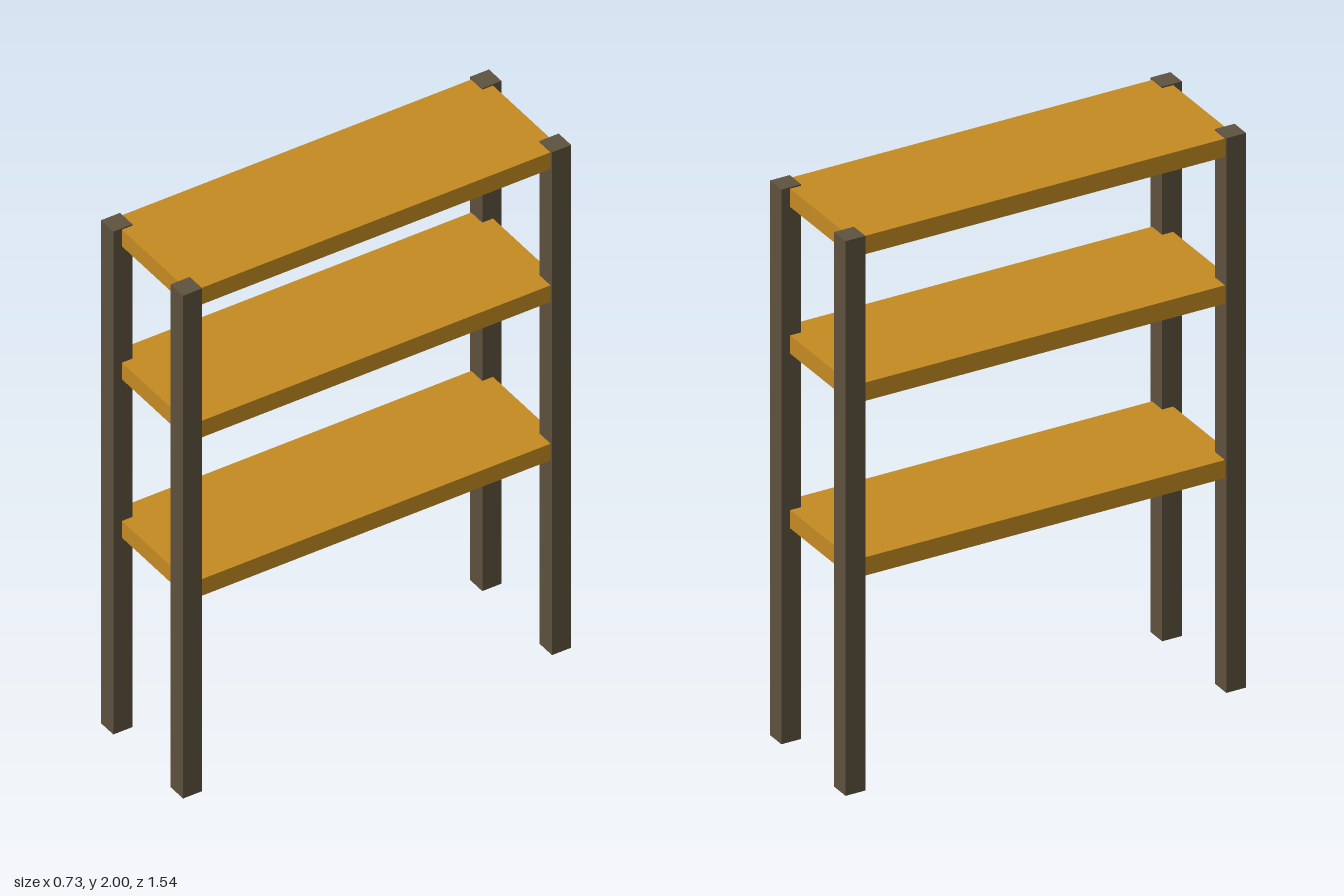
import * as THREE from 'three';

export function createModel() {
  const rack = new THREE.Group();
  rack.name = 'shelfRack';

  const wood = new THREE.MeshStandardMaterial({ color: 0xc48a22 });
  wood.name = 'honeyWood';
  const darkWood = new THREE.MeshStandardMaterial({ color: 0x5e513e });
  darkWood.name = 'darkPost';

  // Four square corner posts
  const postGeometry = new THREE.BoxGeometry(0.073, 2, 0.073);
  for (const [sx, side] of [[1, 'Left'], [-1, 'Right']]) {
    for (const [sz, end] of [[1, 'front'], [-1, 'back']]) {
      const post = new THREE.Mesh(postGeometry, darkWood);
      post.name = `${end}${side}Post`;
      post.position.set(sx * 0.204, 1, sz * 0.702);
      rack.add(post);
    }
  }

  // Three boards let into the posts; the top one sits just below the post tops
  const shelfGeometry = new THREE.BoxGeometry(0.464, 0.066, 1.412);
  const levels = { lowerShelf: 0.803, middleShelf: 1.433, topShelf: 1.962 };
  for (const [name, y] of Object.entries(levels)) {
    const shelf = new THREE.Mesh(shelfGeometry, wood);
    shelf.name = name;
    shelf.position.y = y;
    rack.add(shelf);
  }

  // The whole rack stands turned ten degrees
  rack.rotation.y = THREE.MathUtils.degToRad(-10);

  const model = new THREE.Group();
  model.name = 'model';
  model.add(rack);
  return model;
}
